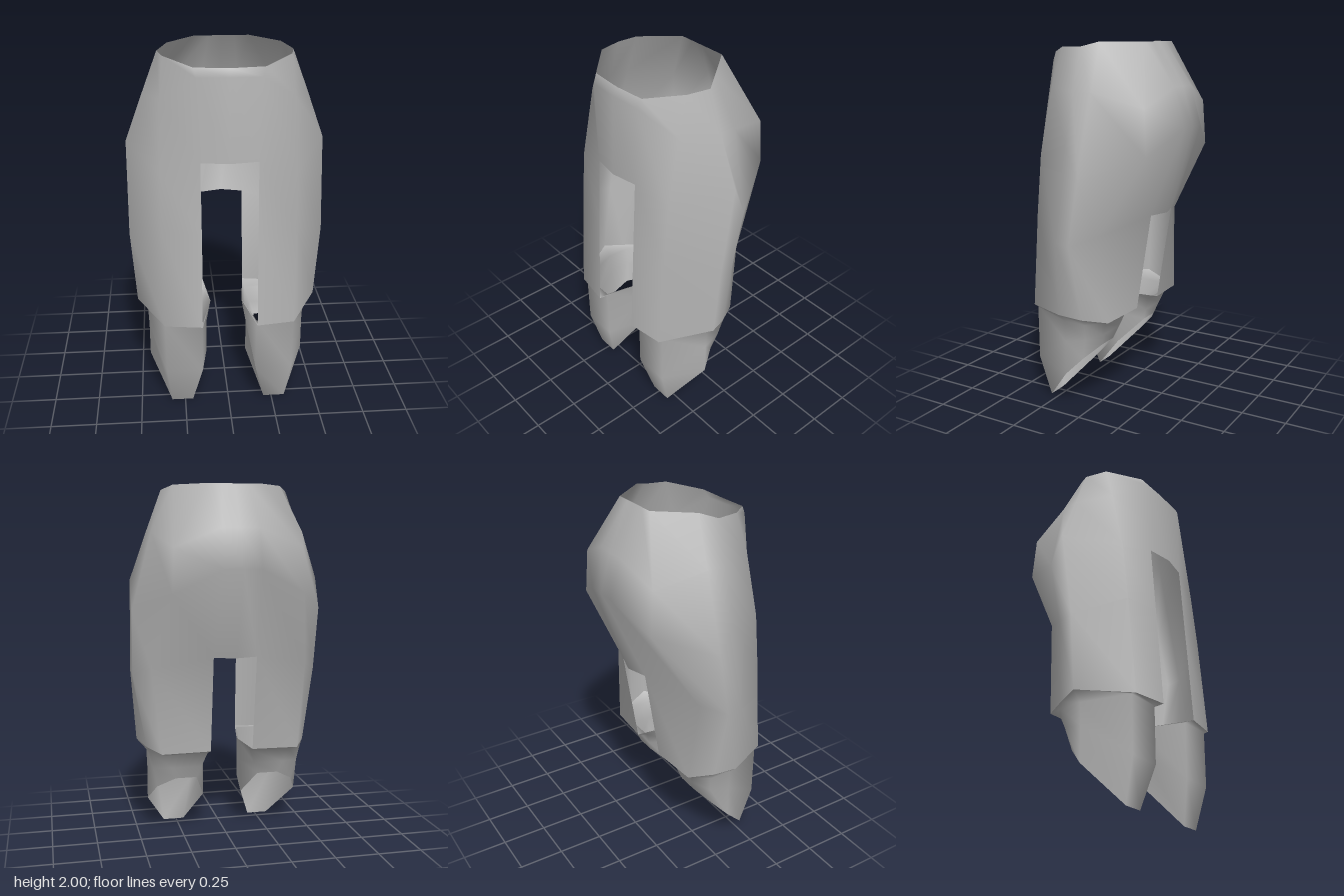
import * as THREE from 'three';

// Surface through columns of points (each listed top to bottom), columns running
// counter-clockwise seen from above; keep(i, r) decides which quads are filled.
function loft(columns, keep = () => true) {
  const rows = columns[0].length, n = columns.length, index = [];
  for (let i = 0; i < n; i++) {
    for (let r = 0; r < rows - 1; r++) {
      if (!keep(i, r)) continue;
      const a = i * rows + r, b = ((i + 1) % n) * rows + r;
      index.push(a, a + 1, b + 1, a, b + 1, b);
    }
  }
  const geometry = new THREE.BufferGeometry();
  geometry.setAttribute('position', new THREE.Float32BufferAttribute(columns.flat(2), 3));
  geometry.setIndex(index);
  geometry.computeVertexNormals();
  return geometry;
}

// Mirror columns across x = 0, reversing their order to keep faces outward
const mirror = (columns) =>
  columns.map((c) => c.map(([x, y, z]) => [-x, y, z])).reverse();

// Left half of the garment, from front centre round to back centre
const shellHalf = [
  [[0, 1.94, 0.335], [0, 1.9, 0.362], [0, 1.465, 0.385], [0, 1.08, 0.39], [0, 0.54, 0.41]],
  [[0.18, 1.945, 0.328], [0.165, 1.9, 0.355], [0.15, 1.465, 0.36], [0.15, 1.08, 0.383], [0.15, 0.54, 0.415]],
  [[0.33, 1.975, 0.18], [0.348, 1.77, 0.24], [0.358, 1.4, 0.315], [0.358, 1.08, 0.345], [0.355, 0.54, 0.385]],
  [[0.355, 1.975, 0.055], [0.44, 1.75, 0.05], [0.535, 1.49, 0.035], [0.535, 0.98, 0.11], [0.505, 0.57, 0.115]],
  [[0.3, 2, -0.025], [0.425, 1.75, -0.05], [0.535, 1.32, -0.035], [0.53, 0.96, 0.03], [0.46, 0.545, 0]],
  [[0.15, 2, -0.21], [0.345, 1.67, -0.315], [0.355, 1.43, -0.33], [0.44, 1.01, -0.095], [0.39, 0.53, -0.125]],
  [[0.07, 2, -0.21], [0.1, 1.77, -0.355], [0.1, 1.56, -0.415], [0.12, 1.08, -0.235], [0.12, 0.54, -0.15]],
  [[0, 2, -0.21], [0, 1.77, -0.357], [0, 1.56, -0.418], [0, 1.08, -0.27], [0, 0.54, -0.16]],
];

// Left lower leg, open at both ends, with a bottom edge slanting down to the toe
const legColumns = [
  [[0.15, 0.54, 0.36], [0.15, 0.23, 0.36], [0.205, 0, 0.3]],
  [[0.355, 0.54, 0.36], [0.35, 0.23, 0.36], [0.325, 0, 0.3]],
  [[0.45, 0.52, 0.115], [0.445, 0.4, 0.115], [0.445, 0.21, 0.115]],
  [[0.445, 0.515, -0.01], [0.425, 0.42, 0], [0.4, 0.3, 0.03]],
  [[0.355, 0.51, -0.085], [0.325, 0.43, -0.055], [0.3, 0.36, -0.03]],
  [[0.125, 0.515, -0.085], [0.155, 0.43, -0.055], [0.18, 0.36, -0.03]],
  [[0.09, 0.54, 0.115], [0.115, 0.4, 0.115], [0.115, 0.21, 0.115]],
];

export function createModel() {
  const group = new THREE.Group();
  const grey = new THREE.MeshStandardMaterial({ color: 0xb4b4b4, side: THREE.DoubleSide });
  grey.name = 'plain grey';
  const add = (name, geometry) => {
    const mesh = new THREE.Mesh(geometry, grey);
    mesh.name = name;
    group.add(mesh);
  };

  // Garment shell with a tall front slit and a shorter back slit
  const ring = [...shellHalf, ...mirror(shellHalf.slice(1, 7))];
  const keep = (i, r) => {
    if (i === 0 || i === 13) return r < 2;
    if (i === 6 || i === 7) return r < 3;
    return true;
  };
  add('garmentShell', loft(ring, keep));

  // Lower legs, each starting at the shell hem and turning inward beneath it;
  // the inner column has no hem above it, so it starts at its own top
  const leg = legColumns.map((c, i) => [i < 6 ? shellHalf[i + 1][4] : c[0], ...c]);
  add('leftLeg', loft(leg));
  add('rightLeg', loft(mirror(leg)));
  return group;
}
